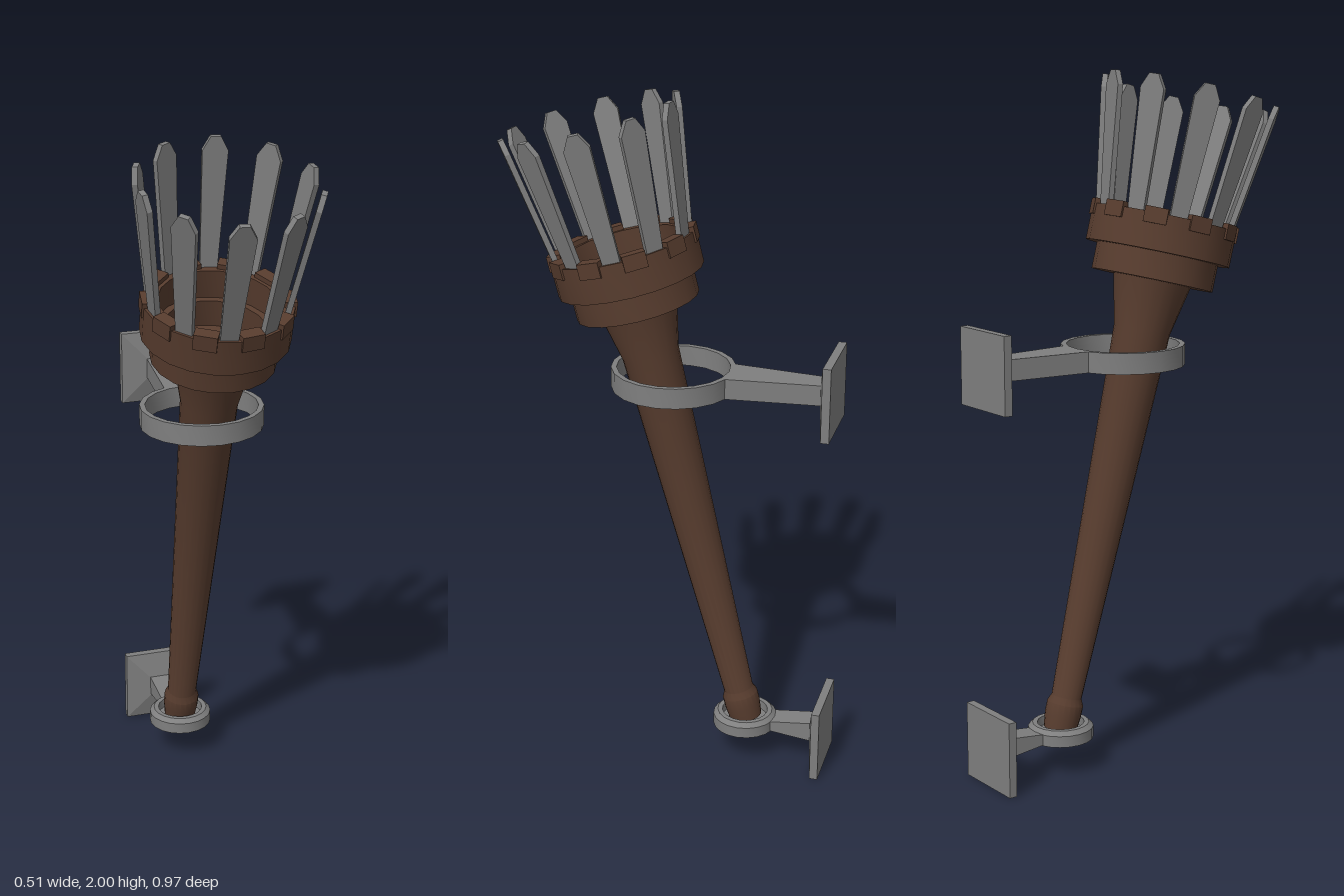
import * as THREE from 'three';
import { toCreasedNormals } from 'three/addons/utils/BufferGeometryUtils.js';

const iron = new THREE.MeshStandardMaterial({ color: 0x7f7f7f });
iron.name = 'iron grey';
const wood = new THREE.MeshStandardMaterial({ color: 0x573c2e });
wood.name = 'dark brown wood';

function add(parent, name, geometry, material) {
  const mesh = new THREE.Mesh(geometry, material);
  mesh.name = name;
  parent.add(mesh);
  return mesh;
}

// Turned part from [radius, height] pairs, ordered from bottom outside to top
function turned(points, sides = 20) {
  const profile = points.map(([r, y]) => new THREE.Vector2(r, y));
  return toCreasedNormals(new THREE.LatheGeometry(profile, sides), 0.5);
}

// Box along z whose back and front ends differ in half width and half height
function taper(zBack, zFront, back, front, y) {
  const g = new THREE.BoxGeometry(2, 2, 2).toNonIndexed();
  const p = g.attributes.position;
  for (let i = 0; i < p.count; i++) {
    const isFront = p.getZ(i) > 0;
    const [w, h] = isFront ? front : back;
    p.setXYZ(i, p.getX(i) * w, y + p.getY(i) * h, isFront ? zFront : zBack);
  }
  g.computeVertexNormals();
  return g;
}

function wallPlate(parent, name, y) {
  add(parent, name, taper(-0.487, -0.463, [0.11, 0.11], [0.11, 0.11], y), iron);
  add(parent, name + 'Bevel', taper(-0.463, -0.445, [0.11, 0.11], [0.036, 0.032], y), iron);
}

export function createModel() {
  const model = new THREE.Group();
  model.name = 'wallTorch';

  // Leaning torch
  const torch = new THREE.Group();
  torch.name = 'torch';
  torch.position.set(0, 0.13, -0.237);
  torch.rotation.x = THREE.MathUtils.degToRad(14.5);
  model.add(torch);

  // Handle, flare and hollow stepped head in one turned profile
  add(torch, 'handleAndHead', turned([
    [0, -0.012], [0.048, -0.012], [0.053, 0.03], [0.053, 0.065], [0.044, 0.085],
    [0.082, 1.17], [0.113, 1.314], [0.177, 1.314], [0.177, 1.392], [0.21, 1.392], [0.21, 1.495],
    [0.165, 1.495], [0.165, 1.41], [0.145, 1.41], [0.145, 1.33],
    [0.107, 1.33], [0.062, 1.09], [0, 1.09],
  ]), wood);

  // Pointed blade outline
  const outline = new THREE.Shape();
  [[-0.024, 0], [0.024, 0], [0.036, 0.36], [0.014, 0.4], [-0.014, 0.4], [-0.036, 0.36]]
    .forEach(([x, y], i) => (i ? outline.lineTo(x, y) : outline.moveTo(x, y)));
  const bladeGeometry = new THREE.ExtrudeGeometry(outline, { depth: 0.016, bevelEnabled: false });
  bladeGeometry.translate(0, 0, -0.008);
  const blockGeometry = new THREE.BoxGeometry(0.066, 0.045, 0.04);

  // Crown of blades with a small block on the rim between each pair
  for (let i = 0; i < 10; i++) {
    const sector = new THREE.Group();
    sector.name = 'crownSector';
    sector.rotation.y = THREE.MathUtils.degToRad(-9 + 36 * i);
    torch.add(sector);
    const blade = add(sector, 'blade', bladeGeometry, iron);
    blade.position.set(0, 1.47, 0.188);
    blade.rotation.x = 0.155;
    const spacer = new THREE.Group();
    spacer.name = 'rimSpacer';
    spacer.rotation.y = THREE.MathUtils.degToRad(18);
    sector.add(spacer);
    add(spacer, 'rimBlock', blockGeometry, wood).position.set(0, 1.487, 0.193);
  }

  // Upper bracket with an open holding ring
  const upper = new THREE.Group();
  upper.name = 'upperBracket';
  model.add(upper);
  wallPlate(upper, 'upperWallPlate', 1.2);
  add(upper, 'upperArm', taper(-0.447, -0.177, [0.036, 0.03], [0.062, 0.03], 1.2), iron);
  const ring = add(upper, 'holdingRing', turned([
    [0.162, -0.03], [0.178, -0.03], [0.178, 0.03], [0.162, 0.03], [0.162, -0.03],
  ]), iron);
  ring.position.set(0, 1.2, -0.012);

  // Lower bracket with a shallow cup under the handle
  const lower = new THREE.Group();
  lower.name = 'lowerBracket';
  model.add(lower);
  wallPlate(lower, 'lowerWallPlate', 0.11);
  add(lower, 'lowerArm', taper(-0.447, -0.315, [0.036, 0.03], [0.036, 0.015], 0.113), iron);
  const cup = add(lower, 'footCup', turned([
    [0, 0.095], [0.095, 0.095], [0.095, 0.128], [0.082, 0.14], [0.068, 0.14], [0.068, 0.112], [0, 0.112],
  ]), iron);
  cup.position.z = -0.237;

  return model;
}
